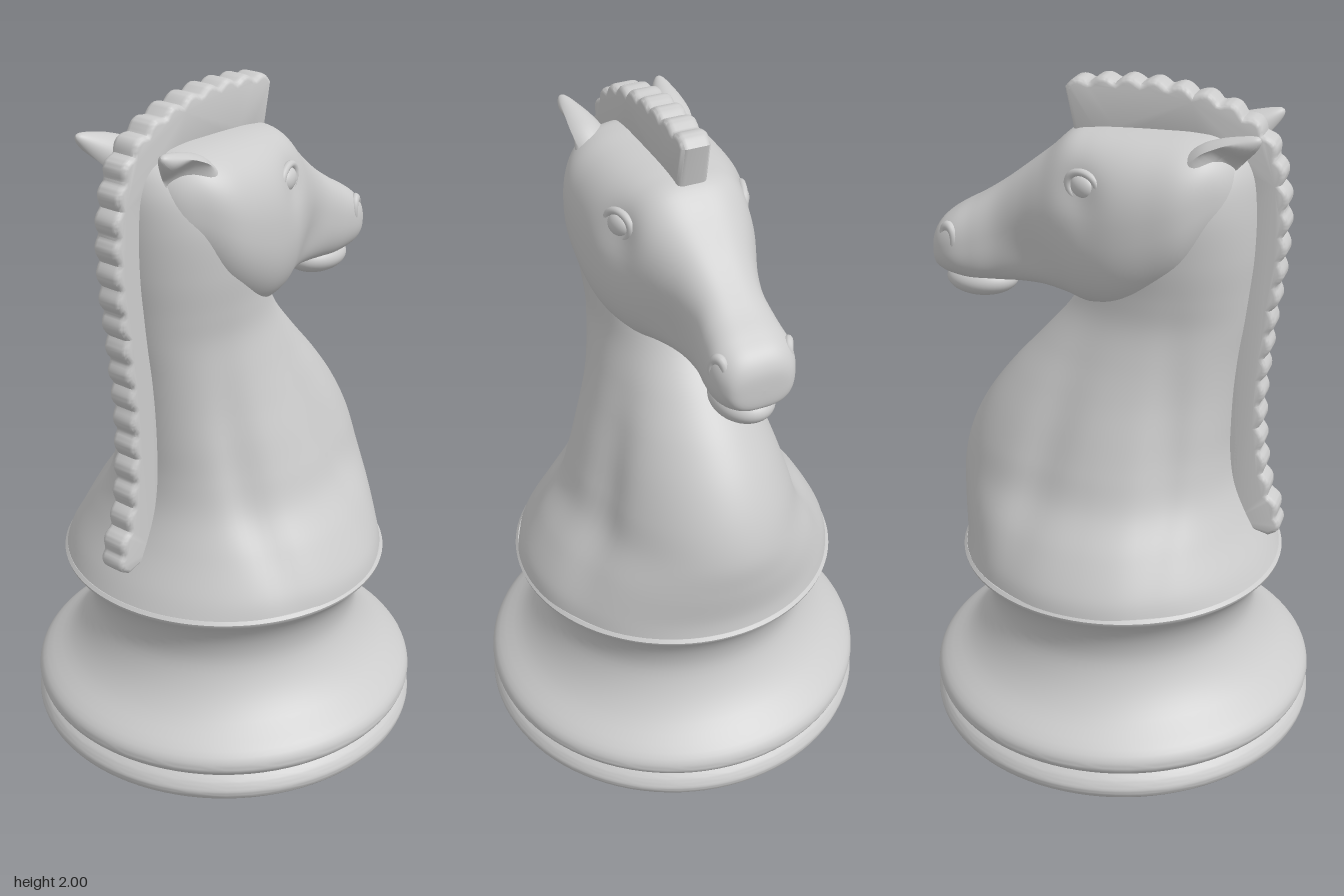
import * as THREE from 'three';
import { toCreasedNormals } from 'three/addons/utils/BufferGeometryUtils.js';

const material = new THREE.MeshStandardMaterial({ color: 0xcccccc });
const V2 = (x, y) => new THREE.Vector2(x, y);

function add(parent, name, geometry) {
  const mesh = new THREE.Mesh(geometry, material);
  mesh.name = name;
  parent.add(mesh);
  return mesh;
}

// Catmull-Rom through the rows of a table, t from 0 to 1
function sampleTable(table, t) {
  const n = table.length - 1, s = Math.min(t * n, n - 1e-6), i = Math.floor(s), u = s - i;
  const row = k => table[Math.max(0, Math.min(n, k))];
  return table[0].map((_, c) => {
    const [a, b, d, e] = [row(i - 1)[c], row(i)[c], row(i + 1)[c], row(i + 2)[c]];
    return b + 0.5 * u * (d - a + u * (2 * a - 5 * b + 4 * d - e + u * (3 * (b - d) + e - a)));
  });
}

// Smooth skin over closed rings; ring(section, angle) gives a point
function loft(table, rows, cols, ring) {
  const pos = [], idx = [];
  for (let i = 0; i <= rows; i++) {
    const section = sampleTable(table, i / rows);
    for (let j = 0; j < cols; j++) pos.push(...ring(section, (j / cols) * Math.PI * 2));
  }
  for (let i = 0; i < rows; i++) for (let j = 0; j < cols; j++) {
    const k = (j + 1) % cols, a = i * cols + j, b = i * cols + k;
    idx.push(a, a + cols, b, b, a + cols, b + cols);
  }
  const g = new THREE.BufferGeometry();
  g.setAttribute('position', new THREE.Float32BufferAttribute(pos, 3));
  g.setIndex(idx);
  g.computeVertexNormals();
  return g;
}

const bell = (v, centre, width) => Math.exp(-(((v - centre) / width) ** 2));
const power = (v, p) => Math.sign(v) * Math.abs(v) ** p;

function makeBase() {
  const curve = pts => new THREE.SplineCurve(pts.map(p => V2(...p))).getPoints(32);
  const foot = curve([[0, 0], [0.3, 0.006], [0.45, 0.022], [0.55, 0.052], [0.577, 0.085], [0.568, 0.115], [0.55, 0.135]]);
  const stem = curve([[0.55, 0.135], [0.57, 0.155], [0.574, 0.18], [0.555, 0.212], [0.48, 0.27], [0.43, 0.335],
    [0.402, 0.41], [0.408, 0.48], [0.436, 0.54], [0.476, 0.585]]);
  const rim = [V2(0.478, 0.593), V2(0.47, 0.602), V2(0.4, 0.604)];
  return toCreasedNormals(new THREE.LatheGeometry([...foot, ...stem.slice(1), ...rim], 96), 0.7);
}

function makeNeck() {
  // height, half width, back z, chest z, z of the widest line
  const sections = [
    [0.59, 0.474, 0.474, -0.47, 0], [0.65, 0.458, 0.445, -0.465, 0], [0.75, 0.402, 0.39, -0.475, 0],
    [0.85, 0.335, 0.35, -0.478, 0], [0.95, 0.3, 0.335, -0.452, 0], [1.05, 0.268, 0.335, -0.4, 0.01],
    [1.15, 0.235, 0.34, -0.325, 0.03], [1.25, 0.207, 0.35, -0.235, 0.07], [1.35, 0.188, 0.365, -0.15, 0.11],
    [1.44, 0.19, 0.375, -0.1, 0.14], [1.55, 0.2, 0.385, -0.05, 0.16], [1.68, 0.2, 0.385, 0, 0.18],
    [1.78, 0.17, 0.37, 0.03, 0.19], [1.84, 0.11, 0.32, 0.1, 0.2], [1.86, 0, 0.2, 0.2, 0.2]];
  return loft(sections, 90, 96, ([y, w, back, chest, mid], a) => {
    const c = Math.cos(a), s = Math.sin(a);
    const z = mid + s * (s > 0 ? back - mid : mid - chest);
    // muscle hollows along the side of the neck
    const fade = bell(y, 1.0, 0.28);
    const hollow = bell(z, 0.2, 0.05) * 0.09 + bell(z, -0.18 + (y - 0.85) * 0.25, 0.07) * 0.07;
    return [w * c * (1 - fade * hollow), y, z];
  });
}

function makeHead() {
  // z, top, bottom, half width, running from poll to nose
  const sections = [
    [0.35, 1.73, 1.73, 0], [0.335, 1.81, 1.64, 0.11], [0.28, 1.86, 1.58, 0.18], [0.21, 1.872, 1.49, 0.225],
    [0.12, 1.872, 1.42, 0.236], [0.03, 1.87, 1.38, 0.232], [-0.06, 1.865, 1.375, 0.21], [-0.13, 1.85, 1.39, 0.182],
    [-0.2, 1.79, 1.4, 0.152], [-0.27, 1.735, 1.4, 0.124], [-0.34, 1.682, 1.395, 0.108], [-0.41, 1.636, 1.39, 0.112],
    [-0.47, 1.602, 1.4, 0.116], [-0.515, 1.57, 1.412, 0.1], [-0.538, 1.53, 1.43, 0.07], [-0.542, 1.48, 1.48, 0]];
  return loft(sections, 90, 80, ([z, top, bottom, w], a) => {
    const y = (top + bottom) / 2 + power(Math.sin(a), 0.85) * (top - bottom) / 2;
    // eye sockets, and the hollow between cheek and muzzle
    const socket = 0.09 * bell(z, -0.075, 0.06) * bell(y, 1.73, 0.07);
    const hollow = 0.13 * bell(z, -0.24, 0.09) * bell(y, 1.5, 0.09);
    return [w * power(Math.cos(a), 0.7) * (1 - socket - hollow), y, z];
  });
}

function makeMane() {
  // crest line as (z, y), from the withers up to the forelock
  const crest = new THREE.SplineCurve([[0.455, 0.69], [0.475, 0.75], [0.435, 0.86], [0.415, 1.0], [0.412, 1.15],
    [0.43, 1.35], [0.452, 1.54], [0.452, 1.71], [0.418, 1.84], [0.35, 1.915], [0.24, 1.962], [0.09, 1.988],
    [-0.07, 1.985], [-0.152, 1.968]].map(p => V2(...p)));
  const n = 260, outer = [], inner = [];
  for (let i = 0; i <= n; i++) {
    const t = i / n, p = crest.getPointAt(t), d = crest.getTangentAt(t);
    const inward = V2(-d.y, d.x);
    const lock = 0.016 * Math.abs(Math.sin(t * Math.PI * 25)) - 0.005;
    outer.push(p.clone().addScaledVector(inward, -lock));
    if (i % 10 === 0) inner.unshift(p.clone().addScaledVector(inward, 0.135));
  }
  const g = new THREE.ExtrudeGeometry(new THREE.Shape([...outer, ...inner]), {
    depth: 0.05, bevelEnabled: true, bevelThickness: 0.017, bevelSize: 0.014, bevelOffset: -0.014, bevelSegments: 3 });
  g.translate(0, 0, -0.025).rotateY(-Math.PI / 2);
  return toCreasedNormals(g, 0.8);
}

function makeEar(side) {
  const profile = new THREE.SplineCurve([V2(0, -0.05), V2(0.05, -0.02), V2(0.064, 0.05), V2(0.052, 0.11),
    V2(0.028, 0.17), V2(0.012, 0.2), V2(0, 0.208)]).getPoints(30).map(p => V2(Math.max(0, p.x), p.y));
  const g = new THREE.LatheGeometry(profile, 32);
  const p = g.attributes.position;
  // scoop out the open side
  for (let i = 0; i < p.count; i++) {
    const z = p.getZ(i);
    if (z > 0) p.setZ(i, z * (1 - 1.2 * bell(p.getY(i), 0.09, 0.07)));
  }
  g.computeVertexNormals();
  const along = new THREE.Vector3(side * 0.1, 0.56, 0.82).normalize();
  const open = new THREE.Vector3(side * 0.7, -0.4, 0.5);
  open.addScaledVector(along, -open.dot(along)).normalize();
  const across = new THREE.Vector3().crossVectors(along, open);
  g.applyMatrix4(new THREE.Matrix4().makeBasis(across, along, open));
  return g.translate(side * 0.125, 1.782, 0.235);
}

export function createModel() {
  const model = new THREE.Group();
  model.name = 'chessKnight';
  add(model, 'base', makeBase());
  add(model, 'neck', makeNeck());

  const head = new THREE.Group();
  head.name = 'head';
  model.add(head);
  add(head, 'skull', makeHead());
  add(head, 'mane', makeMane());
  const lip = add(head, 'lowerLip', new THREE.SphereGeometry(1, 40, 28));
  lip.scale.set(0.083, 0.05, 0.105);
  lip.position.set(0, 1.386, -0.42);

  for (const side of [1, -1]) {
    const label = side > 0 ? 'left' : 'right';
    add(head, label + 'Ear', makeEar(side));

    // eyeball with a lid around it
    const eye = new THREE.Group();
    eye.name = label + 'Eye';
    eye.position.set(side * 0.176, 1.74, -0.055);
    eye.rotation.set(0, side * (Math.PI / 2 + 0.3), side * 0.2);
    head.add(eye);
    add(eye, 'eyeball', new THREE.SphereGeometry(0.034, 24, 16)).scale.set(1.15, 0.9, 0.6);
    const lid = add(eye, 'eyelid', new THREE.TorusGeometry(0.042, 0.011, 12, 36));
    lid.scale.set(1.15, 0.9, 1);

    // flared nostril
    const nostril = add(head, label + 'Nostril', new THREE.TorusGeometry(0.026, 0.013, 12, 28));
    nostril.position.set(side * 0.096, 1.53, -0.478);
    nostril.rotation.y = side * (Math.PI / 2 + 0.45);
    nostril.scale.set(0.85, 1.2, 1);
  }
  return model;
}
